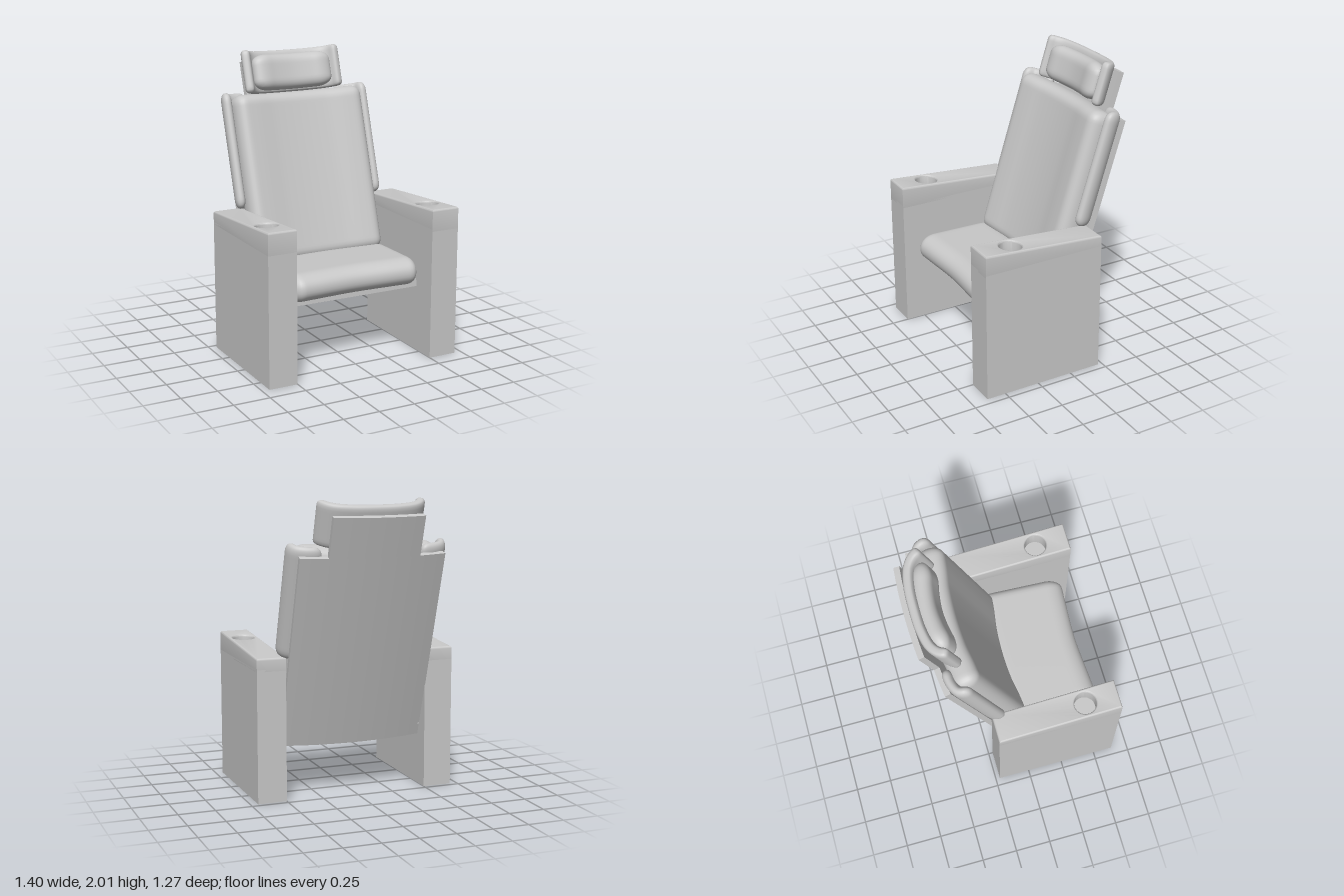
import * as THREE from 'three';
import { mergeVertices, toCreasedNormals } from 'three/addons/utils/BufferGeometryUtils.js';

const grey = new THREE.MeshStandardMaterial({ color: 0xc8c8c8 });
grey.name = 'light grey upholstery';

function mesh(name, geometry) {
  const m = new THREE.Mesh(geometry, grey);
  m.name = name;
  return m;
}

// Mirrors a half path (listed from the centre outward) to the left side
function symmetric(half) {
  return [...half.slice(1).reverse().map(([x, z]) => [-x, z]), ...half];
}

// A rounded slab whose width follows a path in the xz plane; r = corner radii or null for sharp
function bentPad(path, y0, y1, depth, r) {
  const curve = new THREE.CatmullRomCurve3(path.map(([x, z]) => new THREE.Vector3(x, 0, z)));
  const size = [curve.getLength(), y1 - y0, depth];
  const seg = r
    ? size.map((s) => Math.max(8, Math.round(s / 0.02)))
    : [24, 1, 1];
  let geo = new THREE.BoxGeometry(...size, ...seg);
  const pos = geo.attributes.position;
  const p = new THREE.Vector3();
  for (let i = 0; i < pos.count; i++) {
    p.fromBufferAttribute(pos, i);
    if (r) {
      const core = p.toArray().map((v, k) => {
        const lim = Math.max(size[k] / 2 - r[k], 0);
        return THREE.MathUtils.clamp(v, -lim, lim);
      });
      const q = new THREE.Vector3(...p.toArray().map((v, k) => (v - core[k]) / r[k])).normalize();
      p.set(core[0] + q.x * r[0], core[1] + q.y * r[1], core[2] + q.z * r[2]);
    }
    const u = THREE.MathUtils.clamp(p.x / size[0] + 0.5, 0, 1);
    const c = curve.getPointAt(u);
    const t = curve.getTangentAt(u);
    pos.setXYZ(i, c.x - t.z * p.z, p.y + (y0 + y1) / 2, c.z + t.x * p.z);
  }
  if (!r) return toCreasedNormals(geo, 0.5);
  geo.deleteAttribute('uv');
  geo.deleteAttribute('normal');
  geo = mergeVertices(geo, 1e-5);
  geo.computeVertexNormals();
  return geo;
}

// Armrest: plain block with a sloping, bevelled cap holding a cup well
function armrest(name, x) {
  const arm = new THREE.Group();
  arm.name = name;
  const body = mesh('armBlock', new THREE.BoxGeometry(0.2, 0.9, 0.855));
  body.position.set(0, 0.45, 0.2075);
  arm.add(body);

  const outline = new THREE.Shape();
  outline.moveTo(-0.1, -0.635);
  outline.lineTo(0.1, -0.635);
  outline.lineTo(0.1, 0.22);
  outline.lineTo(-0.1, 0.22);
  outline.closePath();
  const well = new THREE.Path();
  well.absarc(0, -0.405, 0.075, 0, Math.PI * 2, true);
  outline.holes.push(well);
  const cap = new THREE.ExtrudeGeometry(outline, {
    depth: 0.09, bevelEnabled: true, bevelThickness: 0.015, bevelSize: 0.012,
    bevelOffset: -0.012, bevelSegments: 4, curveSegments: 40,
  });
  cap.rotateX(-Math.PI / 2);
  cap.translate(0, 0.885, 0);
  const pos = cap.attributes.position;
  for (let i = 0; i < pos.count; i++) {
    if (pos.getY(i) > 0.95) pos.setY(i, pos.getY(i) + 0.07 * pos.getZ(i));
  }
  arm.add(mesh('armCapWithCupWell', toCreasedNormals(cap, 0.6)));
  arm.position.x = x;
  return arm;
}

export function createModel() {
  const chair = new THREE.Group();
  chair.name = 'reclinerChair';

  chair.add(armrest('leftArmrest', 0.6), armrest('rightArmrest', -0.6));

  // Seat cushion and its base plate, tipped up slightly at the front
  const seat = new THREE.Group();
  seat.name = 'seat';
  const seatPath = symmetric([[0, 0.255], [0.3, 0.27], [0.487, 0.282]]);
  seat.add(mesh('seatCushion', bentPad(seatPath, 0.465, 0.655, 0.62, [0.07, 0.09, 0.12])));
  const base = mesh('seatBase', new THREE.BoxGeometry(1.0, 0.05, 0.58));
  base.position.set(0, 0.458, 0.18);
  seat.add(base);
  seat.rotation.x = -0.05;
  chair.add(seat);

  // Reclined back: local y runs up the back, local z points forward
  const back = new THREE.Group();
  back.name = 'reclinedBack';
  back.position.set(0, 0.34, -0.14);
  back.rotation.x = -0.306;
  chair.add(back);

  // Curved rear shell with a narrower upper panel
  const shellCurve = (w) => symmetric([0, 0.25, 0.5, 0.75, 1].map((f) => [f * w, 0.02 + 0.15 * (f * w) ** 2]));
  back.add(mesh('rearShell', bentPad(shellCurve(0.5), 0, 1.36, 0.04, null)));
  back.add(mesh('upperRearShell', bentPad(shellCurve(0.312), 1.36, 1.635, 0.04, null)));

  // Main back cushion
  const backPath = symmetric([[0, 0.145], [0.2, 0.155], [0.35, 0.178], [0.488, 0.192]]);
  back.add(mesh('backCushion', bentPad(backPath, 0.22, 1.385, 0.18, [0.07, 0.07, 0.08])));

  // Side bolsters wrapping around the cushion
  const wing = [[0.34, 0.085], [0.44, 0.098], [0.505, 0.135], [0.528, 0.215]];
  const wingR = [0.05, 0.06, 0.032];
  back.add(mesh('leftBolster', bentPad(wing, 0.62, 1.41, 0.07, wingR)));
  const mirrored = wing.map(([x, z]) => [-x, z]).reverse();
  back.add(mesh('rightBolster', bentPad(mirrored, 0.62, 1.41, 0.07, wingR)));

  // Winged headrest and its pillow
  const headPath = symmetric([[0, 0.078], [0.15, 0.085], [0.27, 0.115], [0.325, 0.16], [0.35, 0.212]]);
  back.add(mesh('headrest', bentPad(headPath, 1.395, 1.69, 0.065, [0.03, 0.03, 0.025])));
  const pillowPath = symmetric([[0, 0.135], [0.14, 0.148], [0.24, 0.172], [0.295, 0.19]]);
  back.add(mesh('headPillow', bentPad(pillowPath, 1.405, 1.655, 0.13, [0.11, 0.065, 0.065])));

  return chair;
}
